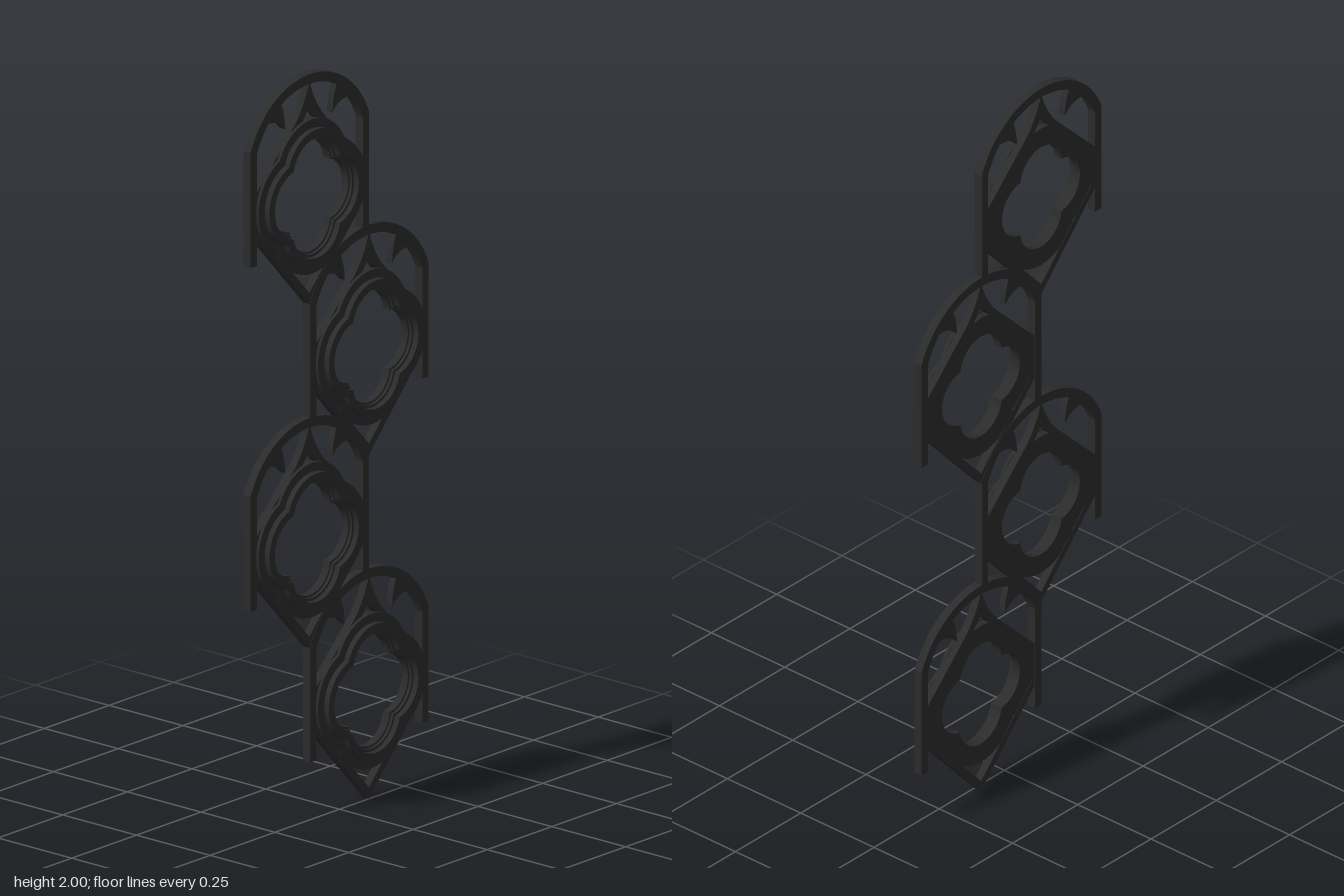
import * as THREE from 'three';

const material = new THREE.MeshStandardMaterial({ color: 0x2b2b2b });

// Plate cut from a shape, lying between two depths
function plate(name, shape, from, to) {
  const geometry = new THREE.ExtrudeGeometry(shape, {
    depth: to - from, bevelEnabled: false, curveSegments: 20,
  });
  geometry.translate(0, 0, from);
  const mesh = new THREE.Mesh(geometry, material);
  mesh.name = name;
  return mesh;
}

// Four-lobed outline whose lobes reach out to the given distance
function quatrefoil(path, reach) {
  const d = 0.07, r = reach - d;
  const a = (2 * d + Math.sqrt(4 * d * d + 8 * (r * r - d * d))) / 4;
  const t = Math.atan2(a, a - d);
  for (let k = 0; k < 4; k++) {
    const q = k * Math.PI / 2;
    path.absarc(d * Math.cos(q), d * Math.sin(q), r, q - t, q + t, false);
  }
  return path;
}

function foilRing(outer, inner) {
  const shape = quatrefoil(new THREE.Shape(), outer);
  shape.holes.push(quatrefoil(new THREE.Path(), inner));
  return shape;
}

// Posts joined by a segmental arch
function archShape() {
  const foot = -0.138, cy = 0.08;
  const xo = 0.229, ro = 0.246, xi = 0.205, ri = 0.22;
  const ao = Math.acos(xo / ro), ai = Math.acos(xi / ri);
  const s = new THREE.Shape();
  s.moveTo(xi, foot);
  s.lineTo(xo, foot);
  s.absarc(0, cy, ro, ao, Math.PI - ao, false);
  s.lineTo(-xo, foot);
  s.lineTo(-xi, foot);
  s.absarc(0, cy, ri, Math.PI - ai, ai, true);
  s.closePath();
  return s;
}

// Diamond frame with a swept-up point at the top
function gableShape() {
  const s = new THREE.Shape();
  s.moveTo(0, -0.291);
  s.lineTo(0.217, -0.055);
  s.lineTo(0.217, 0.045);
  s.lineTo(0.06, 0.2);
  s.quadraticCurveTo(0.018, 0.245, 0, 0.31);
  s.quadraticCurveTo(-0.018, 0.245, -0.06, 0.2);
  s.lineTo(-0.217, 0.045);
  s.lineTo(-0.217, -0.055);
  s.closePath();
  const hole = new THREE.Path();
  hole.moveTo(0, -0.261);
  hole.lineTo(-0.195, -0.05);
  hole.lineTo(-0.195, 0.038);
  hole.lineTo(-0.045, 0.186);
  hole.quadraticCurveTo(-0.015, 0.215, 0, 0.242);
  hole.quadraticCurveTo(0.015, 0.215, 0.045, 0.186);
  hole.lineTo(0.195, 0.038);
  hole.lineTo(0.195, -0.05);
  hole.closePath();
  s.holes.push(hole);
  return s;
}

// Horn hanging from the arch
function cuspShape(side) {
  const s = new THREE.Shape();
  s.moveTo(side * 0.172, 0.228);
  s.quadraticCurveTo(side * 0.118, 0.236, side * 0.092, 0.2);
  s.quadraticCurveTo(side * 0.092, 0.243, side * 0.11, 0.278);
  s.quadraticCurveTo(side * 0.145, 0.262, side * 0.172, 0.228);
  return s;
}

function traceryPanel() {
  const g = new THREE.Group();
  g.add(plate('archFrame', archShape(), -0.024, 0));
  g.add(plate('gable', gableShape(), -0.023, -0.001));
  for (const side of [-1, 1]) {
    g.add(plate(side < 0 ? 'frontCusp' : 'rearCusp', cuspShape(side), -0.022, -0.003));
  }
  // Stepped moulding around the opening
  g.add(plate('foilBase', foilRing(0.204, 0.149), -0.022, 0));
  g.add(plate('foilStep', foilRing(0.207, 0.155), -0.002, 0.008));
  g.add(plate('foilRim', foilRing(0.183, 0.162), 0.007, 0.024));
  return g;
}

export function createModel() {
  const model = new THREE.Group();
  model.name = 'traceryScreen';
  // Staggered stack of equal panels, faces toward +x
  for (let i = 0; i < 4; i++) {
    const panel = traceryPanel();
    panel.name = 'traceryPanel' + (i + 1);
    panel.rotation.y = Math.PI / 2;
    panel.position.set(0, 0.291 + i * 0.461, i % 2 ? 0.115 : -0.115);
    model.add(panel);
  }
  return model;
}
